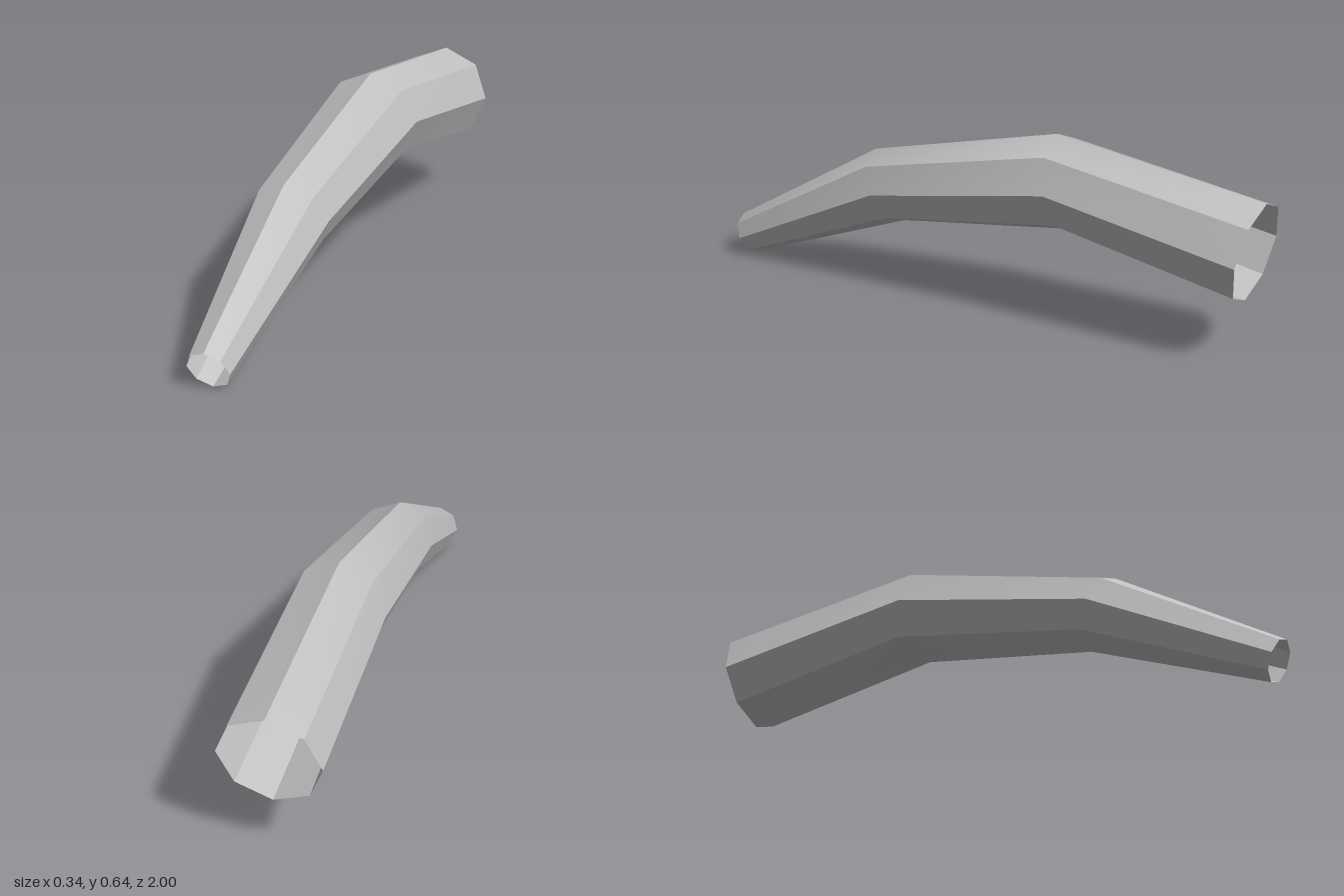
import * as THREE from 'three';

// Top and bottom corner of each eight-sided ring, front to back: [topZ, topY, bottomZ, bottomY]
const RINGS = [
  [1.0, 0.137, 0.94, 0.003],
  [0.43, 0.475, 0.32, 0.235],
  [-0.268, 0.64, -0.328, 0.322],
  [-1.0, 0.53, -0.942, 0.196],
];
const SIDES = 8;

// Corner of a ring at a given step around it, starting from the top
function ringPoint([tz, ty, bz, by], step) {
  const a = (step / SIDES) * Math.PI * 2;
  const r = Math.hypot(tz - bz, ty - by) / 2;
  const c = Math.cos(a) / 2;
  return [r * Math.sin(a), (ty + by) / 2 + (ty - by) * c, (tz + bz) / 2 + (tz - bz) * c];
}

// Each side is its own strip: smooth along the length, sharp between sides
function tubeGeometry() {
  const positions = [];
  const index = [];
  for (let s = 0; s < SIDES; s++) {
    const base = positions.length / 3;
    for (const ring of RINGS) positions.push(...ringPoint(ring, s), ...ringPoint(ring, s + 1));
    for (let i = 0; i < RINGS.length - 1; i++) {
      const a = base + i * 2;
      index.push(a, a + 1, a + 2, a + 1, a + 3, a + 2);
    }
  }
  const geometry = new THREE.BufferGeometry();
  geometry.setAttribute('position', new THREE.Float32BufferAttribute(positions, 3));
  geometry.setIndex(index);
  geometry.computeVertexNormals();
  return geometry;
}

export function createModel() {
  const grey = new THREE.MeshStandardMaterial({ color: 0xc0c0c0, side: THREE.DoubleSide });
  grey.name = 'light grey';

  // Bent, tapering tube, open at both ends
  const tube = new THREE.Mesh(tubeGeometry(), grey);
  tube.name = 'bentTube';

  const model = new THREE.Group();
  model.name = 'taperedTube';
  model.add(tube);
  return model;
}
